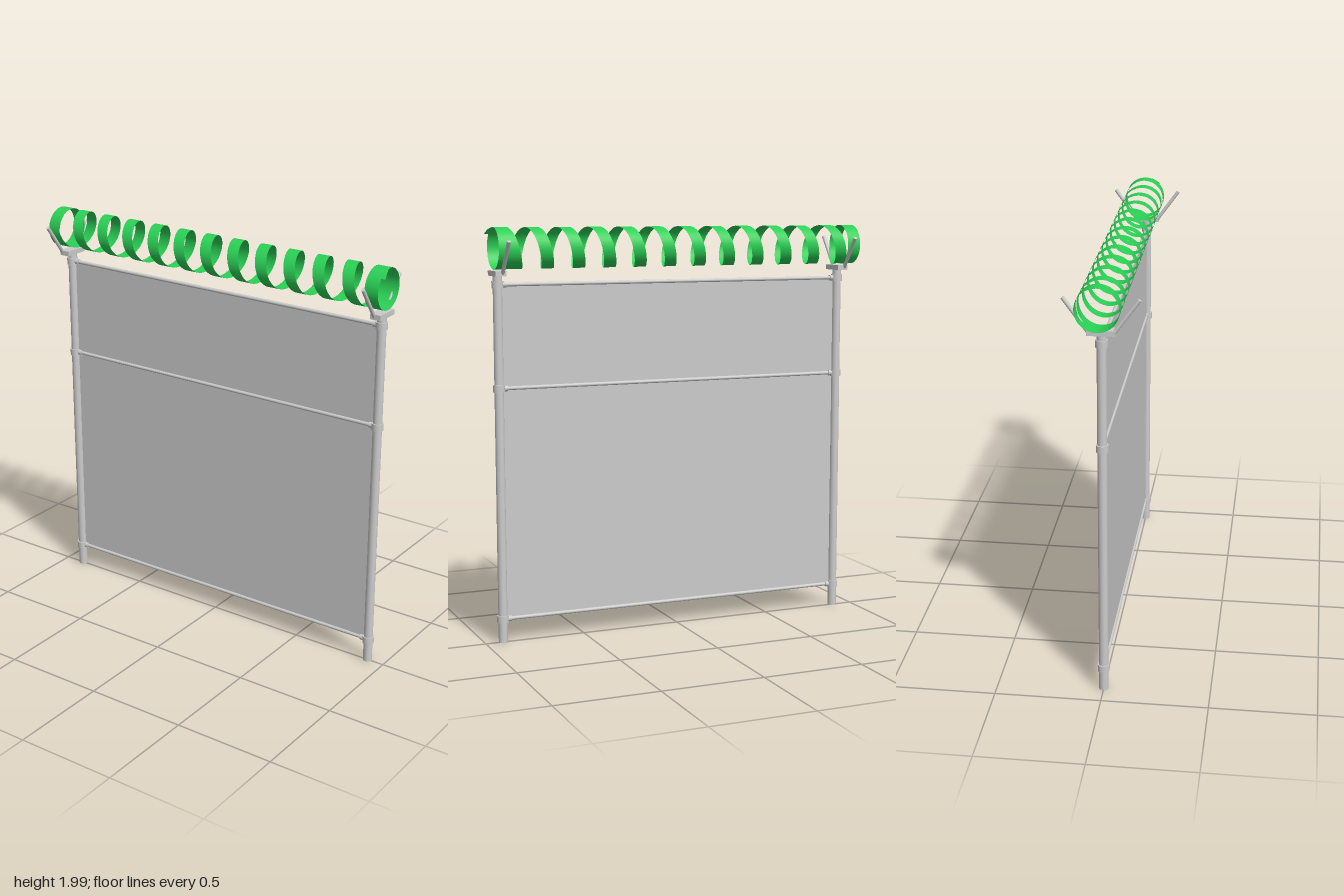
import * as THREE from 'three';
import { ParametricGeometry } from 'three/addons/geometries/ParametricGeometry.js';

export function createModel() {
  const model = new THREE.Group();
  const grey = new THREE.MeshStandardMaterial({ color: 0xcccccc });
  const greySheet = new THREE.MeshStandardMaterial({ color: 0xcccccc, side: THREE.DoubleSide });
  const green = new THREE.MeshStandardMaterial({ color: 0x2ad055, side: THREE.DoubleSide });

  const add = (name, geometry, material, x = 0, y = 0, z = 0) => {
    const mesh = new THREE.Mesh(geometry, material);
    mesh.name = name;
    mesh.position.set(x, y, z);
    model.add(mesh);
    return mesh;
  };

  // Round bar between two points
  const bar = (name, a, b, radius) => {
    const from = new THREE.Vector3(...a), to = new THREE.Vector3(...b);
    const dir = to.clone().sub(from);
    const mesh = add(name, new THREE.CylinderGeometry(radius, radius, dir.length(), 20), grey);
    mesh.position.copy(from).add(to).multiplyScalar(0.5);
    mesh.quaternion.setFromUnitVectors(new THREE.Vector3(0, 1, 0), dir.normalize());
    return mesh;
  };

  const postX = [-0.892, 0.913];
  const armX = [-0.905, 0.903];
  const railY = [0.115, 1.235, 1.725];
  const midX = (postX[0] + postX[1]) / 2;
  const span = postX[1] - postX[0];

  // Mesh sheet filling the frame
  add('fencePanel', new THREE.PlaneGeometry(span, railY[2] - railY[0]), greySheet,
    midX, (railY[0] + railY[2]) / 2, 0);

  // Horizontal rails
  for (const y of railY) bar('rail', [postX[0], y, 0], [postX[1], y, 0], 0.009);

  postX.forEach((x, i) => {
    const inward = i === 0 ? 1 : -1;
    bar('post', [x, 0, 0], [x, 1.77, 0], 0.022);

    // Tee clamps joining rails to the post
    for (const y of railY) {
      bar('clampCollar', [x, y - 0.017, 0], [x, y + 0.017, 0], 0.028);
      bar('clampSocket', [x, y, 0], [x + inward * 0.042, y, 0], 0.014);
    }

    // V-shaped cradle holding the coil
    add('cradleBase', new THREE.BoxGeometry(0.054, 0.025, 0.126), grey, x, 1.778, 0);
    for (const s of [-1, 1]) {
      bar('cradleArm', [armX[i], 1.775, s * 0.053], [armX[i], 1.93, s * 0.165], 0.009);
    }
  });

  // Spiral ribbon coil with a closed band at each end
  const coil = { y: 1.895, z: -0.011, r: 0.097, pitch: 0.156, width: 0.062 };
  const start = -0.925, end = 0.925;
  const turns = (end - start) / coil.pitch;
  const ribbon = new ParametricGeometry((u, v, target) => {
    const x = start + (end - start) * u;
    const t = (2 * Math.PI * (x + 0.812)) / coil.pitch;
    target.set(x + (v - 0.5) * coil.width, coil.r * Math.cos(t), coil.r * Math.sin(t));
  }, Math.round(turns * 40), 2);
  add('spiralRibbon', ribbon, green, 0, coil.y, coil.z);

  for (const x of [-0.931, 0.9]) {
    const band = add('coilEndBand',
      new THREE.CylinderGeometry(coil.r + 0.001, coil.r + 0.001, 0.069, 48, 1, true),
      green, x, coil.y, coil.z);
    band.rotation.z = Math.PI / 2;
  }

  return model;
}
